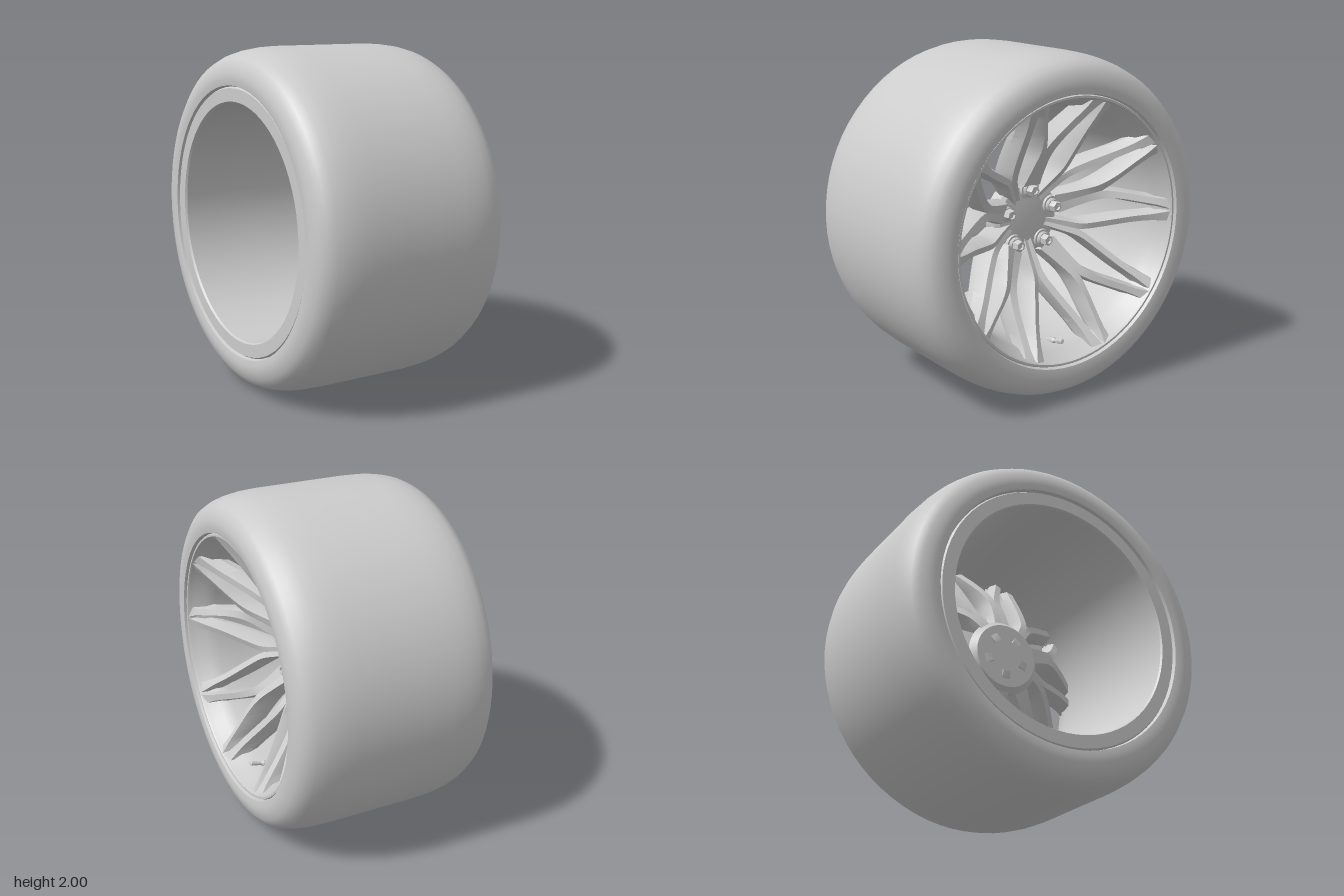
import * as THREE from 'three';
import { toCreasedNormals } from 'three/addons/utils/BufferGeometryUtils.js';

const material = new THREE.MeshStandardMaterial({ color: 0xcccccc });

function addMesh(parent, name, geometry) {
  const mesh = new THREE.Mesh(geometry, material);
  mesh.name = name;
  parent.add(mesh);
  return mesh;
}

// Turned part around the x axle; profile points are [radius, x], outside runs towards +x
function turned(profile, segments) {
  const g = new THREE.LatheGeometry(profile.map(p => new THREE.Vector2(p[0], p[1])), segments);
  return toCreasedNormals(g, 0.5).rotateZ(-Math.PI / 2);
}

// Dished face of the spokes: deep at the hub, nearly flush at the rim
const faceX = r => 0.15 + 0.415 * Math.pow(Math.max(r - 0.1, 0) / 0.65, 1.15);

// One spoke arm swept along [radius, sideways] points, tapering from a wide root and flaring at the rim
function armGeometry(path, side, rootWidth) {
  const curve = new THREE.SplineCurve(path.map(p => new THREE.Vector2(p[0], p[1] * side)));
  const steps = 24, positions = [], index = [];
  for (let i = 0; i <= steps; i++) {
    const t = i / steps;
    const p = curve.getPoint(t), d = curve.getTangent(t);
    const flare = 0.012 * THREE.MathUtils.smoothstep(t, 0.85, 1);
    const front = THREE.MathUtils.lerp(rootWidth, 0.019, Math.min(1, t * 1.6)) + flare;
    const back = front + 0.016;
    const depth = 0.13 + 0.04 * Math.sin(t * Math.PI);
    const x = faceX(p.length());
    // the face falls slightly towards the twin arm, leaving a fine crease along the stem
    const tilt = 0.005 * side;
    const section = [
      [-front, -tilt * -1 - 0.005], [front, tilt * 1 - 0.005], [back, -0.6 * depth],
      [back * 0.6, -depth], [-back * 0.6, -depth], [-back, -0.6 * depth],
    ];
    section[0][1] = -tilt;
    section[1][1] = tilt;
    for (const [w, dx] of section) positions.push(x + dx, p.x - d.y * w, p.y + d.x * w);
  }
  for (let i = 0; i < steps; i++) {
    for (let j = 0; j < 6; j++) {
      const a = i * 6 + j, b = i * 6 + (j + 1) % 6;
      index.push(a, a + 6, b, b, a + 6, b + 6);
    }
  }
  const g = new THREE.BufferGeometry();
  g.setAttribute('position', new THREE.Float32BufferAttribute(positions, 3));
  g.setIndex(index);
  return toCreasedNormals(g, 0.5);
}

export function createModel() {
  const model = new THREE.Group();
  model.name = 'wheel';
  const wheel = new THREE.Group();
  wheel.name = 'wheelAssembly';
  wheel.position.y = 1;
  model.add(wheel);

  // Tyre: mirrored half profile with flat sidewall and rounded shoulders
  const half = [
    [0.775, 0.55], [0.787, 0.602], [0.82, 0.608], [0.855, 0.606], [0.9, 0.592],
    [0.94, 0.565], [0.967, 0.515], [0.985, 0.45], [0.995, 0.38], [1, 0.28], [1, 0.1],
  ];
  const tyre = [...half.map(([r, x]) => [r, -x]), ...half.slice().reverse()];
  addMesh(wheel, 'tyre', turned(tyre, 72));

  // Rim: front lip stepping down to the barrel, then the flat back flange
  addMesh(wheel, 'rim', turned([
    [0.775, 0.53], [0.782, 0.575], [0.776, 0.588], [0.764, 0.588], [0.757, 0.575], [0.75, 0.54],
    [0.715, 0.49], [0.7, 0.42], [0.692, 0.3], [0.69, -0.58], [0.697, -0.592],
    [0.772, -0.592], [0.78, -0.58], [0.775, -0.53],
  ], 72));

  // Hub with a shallow centre face
  addMesh(wheel, 'hub', turned([
    [0, 0.03], [0.2, 0.03], [0.235, 0.07], [0.225, 0.14], [0.2, 0.16], [0.11, 0.168], [0, 0.172],
  ], 40));

  // Ten forked spokes: five behind the bolts, five between them
  const boltPath = [[0.2, 0.025], [0.3, 0.018], [0.42, 0.02], [0.52, 0.057], [0.64, 0.127], [0.75, 0.19]];
  const midPath = [[0.1, 0.004], [0.22, 0.012], [0.33, 0.022], [0.43, 0.067], [0.58, 0.147], [0.735, 0.214]];
  for (let k = 0; k < 10; k++) {
    const onBolt = k % 2 === 0;
    const spoke = new THREE.Group();
    spoke.name = onBolt ? 'boltSpoke' : 'middleSpoke';
    spoke.rotation.x = k * Math.PI / 5;
    wheel.add(spoke);
    for (const side of [-1, 1]) {
      addMesh(spoke, 'spokeArm', armGeometry(onBolt ? boltPath : midPath, side, onBolt ? 0.035 : 0.016));
    }
    if (!onBolt) continue;

    // Wheel bolt: seat, washer and hexagonal head with a hollow end
    const bolt = new THREE.Group();
    bolt.name = 'wheelBolt';
    bolt.position.set(0.09, 0.175, 0);
    spoke.add(bolt);
    addMesh(bolt, 'boltSeat', turned([[0.065, 0.02], [0.055, 0.09], [0, 0.09]], 24));
    addMesh(bolt, 'boltWasher', turned([[0.044, 0.08], [0.044, 0.098], [0.036, 0.106], [0, 0.106]], 24));
    addMesh(bolt, 'boltHead', turned([
      [0.034, 0.1], [0.034, 0.142], [0.029, 0.15], [0.02, 0.15], [0.018, 0.136], [0, 0.136],
    ], 6));
  }

  // Air valve at the bottom of the barrel
  const valve = new THREE.Group();
  valve.name = 'airValve';
  valve.position.set(0.4, -0.695, 0);
  valve.rotation.z = 0.25;
  wheel.add(valve);
  addMesh(valve, 'valveStem', turned([
    [0, -0.03], [0.02, -0.03], [0.02, 0.02], [0.011, 0.035], [0.011, 0.06],
    [0.015, 0.06], [0.015, 0.1], [0.011, 0.106], [0, 0.106],
  ], 14));

  return model;
}
